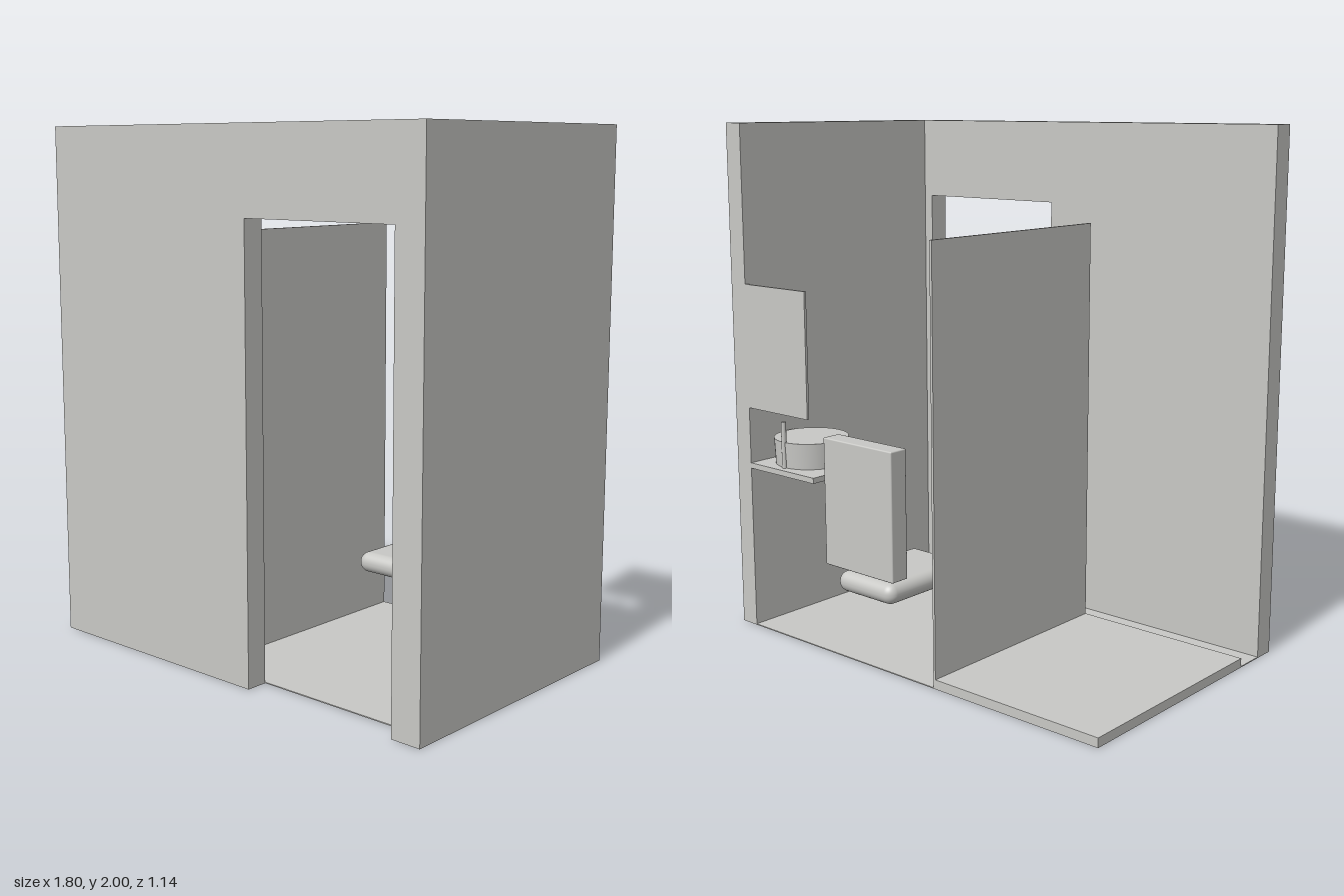
import * as THREE from 'three';
import { RoundedBoxGeometry } from 'three/addons/geometries/RoundedBoxGeometry.js';

export function createModel() {
  const model = new THREE.Group();
  model.name = 'bathroom';
  const grey = new THREE.MeshStandardMaterial({ color: 0xc8c8c5 });
  grey.name = 'warm grey';

  function add(name, geometry) {
    const mesh = new THREE.Mesh(geometry, grey);
    mesh.name = name;
    model.add(mesh);
    return mesh;
  }
  // Box from its minimum and maximum corners, rounded if a radius is given
  function box(name, x0, x1, y0, y1, z0, z1, radius = 0) {
    const size = [x1 - x0, y1 - y0, z1 - z0];
    const geometry = radius ? new RoundedBoxGeometry(...size, 6, radius) : new THREE.BoxGeometry(...size);
    add(name, geometry).position.set((x0 + x1) / 2, (y0 + y1) / 2, (z0 + z1) / 2);
  }

  // Front wall with a doorway open at the bottom
  const outline = [[-0.9, 0], [0.12, 0], [0.12, 1.68], [0.78, 1.68], [0.78, 0], [0.9, 0], [0.9, 2], [-0.9, 2]];
  const wallShape = new THREE.Shape(outline.map(([x, y]) => new THREE.Vector2(x, y)));
  add('frontWall', new THREE.ExtrudeGeometry(wallShape, { depth: 0.085, bevelEnabled: false })).position.z = 0.485;

  // Side wall and floor
  box('sideWall', 0.82, 0.9, 0, 2, -0.53, 0.485);
  box('floor', -0.9, 0.82, 0, 0.004, -0.53, 0.485);

  // Shower corner
  box('showerTray', -0.9, -0.16, 0.004, 0.036, -0.53, 0.365);
  box('showerScreen', -0.17, -0.16, 0.036, 1.62, -0.53, 0.365);

  // Wall-hung toilet
  box('toiletCistern', 0, 0.352, 0.37, 0.86, -0.57, -0.492, 0.005);
  box('toiletSeat', 0.03, 0.32, 0.265, 0.345, -0.552, -0.128, 0.039);

  // Washstand with round basin, tap and mirror
  box('washShelf', 0.457, 0.82, 0.655, 0.677, -0.53, -0.175);
  add('basin', new THREE.CylinderGeometry(0.147, 0.142, 0.103, 48)).position.set(0.66, 0.7285, -0.352);
  add('tap', new THREE.CylinderGeometry(0.01, 0.01, 0.183, 16)).position.set(0.66, 0.7685, -0.495);
  box('mirror', 0.482, 0.82, 0.9, 1.388, -0.53, -0.52);

  return model;
}
